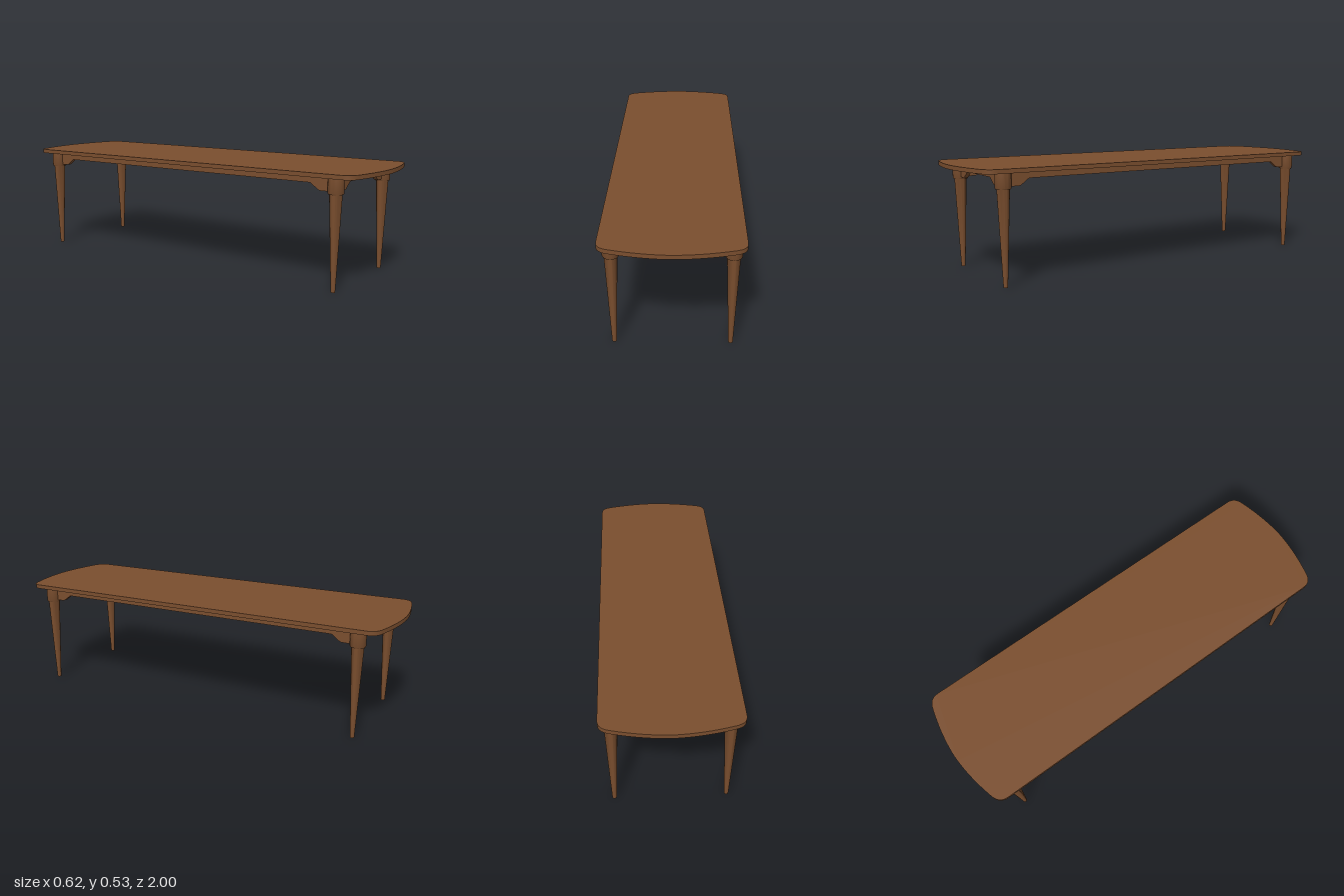
import * as THREE from 'three';
import { toCreasedNormals } from 'three/addons/utils/BufferGeometryUtils.js';

const LEG_X = 0.257, LEG_Z = 0.855, TOP_Y = 0.512;

// Top outline: straight sides, rounded corners, bowed ends
function topShape() {
  const s = new THREE.Shape();
  s.moveTo(0.31, -0.9);
  s.lineTo(0.31, 0.9);
  s.bezierCurveTo(0.31, 0.935, 0.292, 0.953, 0.255, 0.962);
  s.quadraticCurveTo(0.12, 0.998, 0, 1);
  s.quadraticCurveTo(-0.12, 0.998, -0.255, 0.962);
  s.bezierCurveTo(-0.292, 0.953, -0.31, 0.935, -0.31, 0.9);
  s.lineTo(-0.31, -0.9);
  s.bezierCurveTo(-0.31, -0.935, -0.292, -0.953, -0.255, -0.962);
  s.quadraticCurveTo(-0.12, -0.998, 0, -1);
  s.quadraticCurveTo(0.12, -0.998, 0.255, -0.962);
  s.bezierCurveTo(0.292, -0.953, 0.31, -0.935, 0.31, -0.9);
  return s;
}

// Apron board between two legs, with a sloped bracket at each end
function apronGeometry(half) {
  const low = 0.45, high = 0.482, foot = half - 0.077, rise = half - 0.12, t = 0.02;
  const s = new THREE.Shape();
  s.moveTo(-half, TOP_Y);
  s.lineTo(-half, low);
  s.lineTo(-foot - 0.008, low);
  s.quadraticCurveTo(-foot, low, -foot + 0.007, low + 0.005);
  s.lineTo(-rise, high);
  s.lineTo(rise, high);
  s.lineTo(foot - 0.007, low + 0.005);
  s.quadraticCurveTo(foot, low, foot + 0.008, low);
  s.lineTo(half, low);
  s.lineTo(half, TOP_Y);
  const g = new THREE.ExtrudeGeometry(s, { depth: t, bevelEnabled: false, curveSegments: 4 });
  g.translate(0, 0, -t / 2);
  return toCreasedNormals(g, 0.5);
}

export function createModel() {
  const wood = new THREE.MeshStandardMaterial({ color: 0x7a4e2e });
  wood.name = 'brown wood';
  const table = new THREE.Group();
  table.name = 'table';
  const add = (name, geometry, x = 0, z = 0) => {
    const mesh = new THREE.Mesh(geometry, wood);
    mesh.name = name;
    mesh.position.set(x, 0, z);
    table.add(mesh);
    return mesh;
  };

  // Table top
  const top = new THREE.ExtrudeGeometry(topShape(), { depth: 0.02, bevelEnabled: false, curveSegments: 8 });
  top.rotateX(-Math.PI / 2);
  top.translate(0, TOP_Y, 0);
  add('tableTop', toCreasedNormals(top, 0.6));

  // Tapered round legs with a wider collar
  const profile = [[0, 0], [0.01, 0], [0.029, 0.44], [0.034, 0.44], [0.0365, 0.445], [0.0365, TOP_Y], [0, TOP_Y]]
    .map(([r, y]) => new THREE.Vector2(r, y));
  const leg = toCreasedNormals(new THREE.LatheGeometry(profile, 32), 0.5);

  const shortApron = apronGeometry(LEG_X);
  const longApron = apronGeometry(LEG_Z);
  longApron.rotateY(Math.PI / 2);

  for (const s of [1, -1]) {
    const end = s > 0 ? 'front' : 'back';
    add(end + 'LeftLeg', leg, LEG_X, s * LEG_Z);
    add(end + 'RightLeg', leg, -LEG_X, s * LEG_Z);
    add(end + 'Apron', shortApron, 0, s * LEG_Z);
    add(s > 0 ? 'leftApron' : 'rightApron', longApron, s * LEG_X, 0);
  }
  return table;
}
